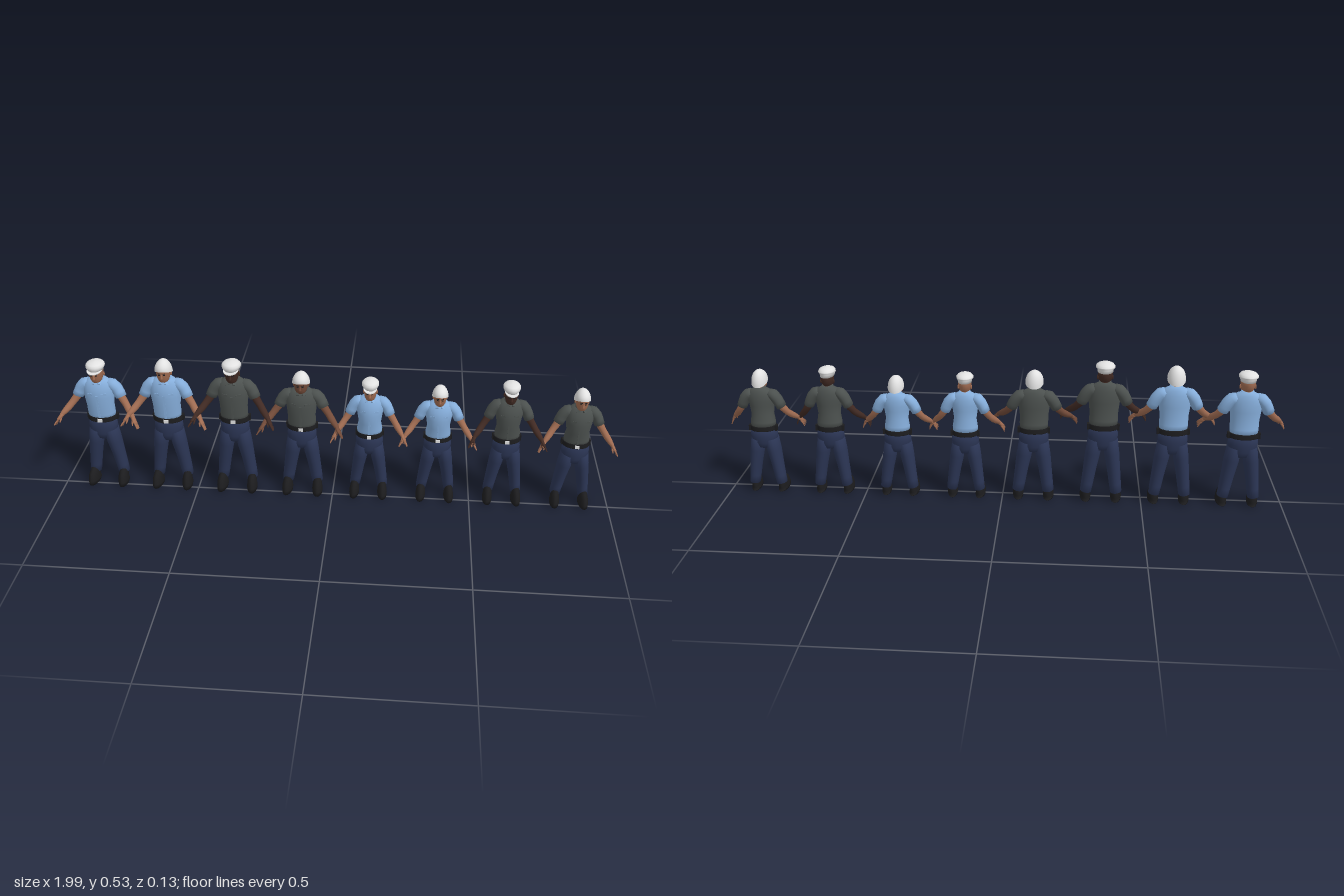
import * as THREE from 'three';

const mat = (name, color) => Object.assign(new THREE.MeshStandardMaterial({ color }), { name });
const M = {
  blue: mat('blueShirt', 0x86aedb), grey: mat('greyShirt', 0x4c514f), navy: mat('navyTrousers', 0x2b3554),
  black: mat('blackLeather', 0x1c1c1e), white: mat('whiteHat', 0xe2e2e2),
  tan: mat('tanSkin', 0xa06c52), brown: mat('brownSkin', 0x744c3a), dark: mat('darkSkin', 0x422b24),
};
M.white.side = THREE.DoubleSide;

// Skin elliptical rings [x, y, z, rx, rz] that follow a path, capped at both ends
function loft(rings, n = 16) {
  const pos = [], idx = [], Z = new THREE.Vector3(0, 0, 1);
  const c = rings.map(r => new THREE.Vector3(r[0], r[1], r[2]));
  const last = rings.length - 1;
  rings.forEach((r, i) => {
    const t = c[Math.min(i + 1, last)].clone().sub(c[Math.max(i - 1, 0)]).normalize();
    const u = new THREE.Vector3().crossVectors(t, Z).normalize();
    const v = new THREE.Vector3().crossVectors(u, t);
    for (let j = 0; j < n; j++) {
      const a = j / n * Math.PI * 2;
      const p = c[i].clone().addScaledVector(u, Math.cos(a) * r[3]).addScaledVector(v, Math.sin(a) * r[4]);
      pos.push(p.x, p.y, p.z);
      if (i < last) {
        const k = (j + 1) % n, A = i * n + j, B = i * n + k;
        idx.push(A, A + n, B, B, A + n, B + n);
      }
    }
  });
  const base = pos.length / 3;
  pos.push(...c[0].toArray(), ...c[last].toArray());
  for (let j = 0; j < n; j++) {
    const k = (j + 1) % n;
    idx.push(base, j, k, base + 1, last * n + k, last * n + j);
  }
  const g = new THREE.BufferGeometry();
  g.setAttribute('position', new THREE.Float32BufferAttribute(pos, 3));
  g.setIndex(idx);
  g.computeVertexNormals();
  return g;
}
// Upright loft: rings [y, rx, rz, z]
const column = rows => loft(rows.map(([y, rx, rz, z]) => [0, y, z, rx, rz]), 20);

function add(parent, name, geo, material, x = 0, y = 0, z = 0) {
  const m = new THREE.Mesh(geo, material);
  m.name = name;
  m.position.set(x, y, z);
  parent.add(m);
  return m;
}
const box = (w, h, d) => new THREE.BoxGeometry(w, h, d);

// Trousers, shoes
function buildLegs() {
  const g = new THREE.Group();
  g.name = 'legs';
  add(g, 'hips', column([[.175, .03, .028, -.032], [.195, .046, .036, -.032], [.22, .049, .037, -.033], [.25, .045, .035, -.035]]), M.navy);
  for (const s of [1, -1]) {
    add(g, 'trouserLeg', loft([
      [s * .05, .032, -.037, .019, .024], [s * .046, .06, -.037, .020, .024], [s * .039, .11, -.035, .022, .028],
      [s * .031, .16, -.032, .025, .034], [s * .025, .205, -.031, .024, .036]]), M.navy);
    const shoe = add(g, 'shoe', loft([
      [0, 0, -.015, .017, .044], [0, .008, -.015, .018, .045], [0, .018, -.018, .017, .041],
      [0, .028, -.027, .015, .031], [0, .042, -.037, .014, .019]]), M.black, s * .052);
    shoe.rotation.y = s * .06;
  }
  return g;
}

// Short sleeve, bare arm and spread hand; reach pushes the hand forward
function buildArm(s, shirt, skin, reach, lift) {
  const g = new THREE.Group();
  g.name = s > 0 ? 'leftArm' : 'rightArm';
  const P = (x, y, z, r, q = r) => {
    const t = Math.max(0, (x - .06) / .08);
    return [s * x, y + lift * t, z + reach * t, r, q];
  };
  add(g, 'sleeve', loft([P(.03, .130, -.036, .016, .02), P(.044, .124, -.036, .020, .023),
    P(.056, .110, -.036, .020, .022), P(.064, .094, -.035, .019, .021), P(.071, .078, -.033, .018, .02)]), shirt);
  add(g, 'arm', loft([P(.06, .098, -.036, .014), P(.075, .072, -.031, .013), P(.088, .053, -.024, .0115),
    P(.099, .039, -.012, .0115), P(.108, .029, -.002, .010), P(.117, .019, .009, .007)], 12), skin);
  add(g, 'palm', loft([P(.115, .021, .007, .007), P(.120, .014, .013, .006, .010), P(.126, .006, .02, .005, .011),
    P(.128, .003, .023, .003, .008)], 10), skin);
  for (let i = 0; i < 4; i++) {
    const f = i - 1.5;
    add(g, 'finger', loft([P(.124, .007 + f * .001, .017 + f * .0055, .0028), P(.131, -.003 + f * .002, .022 + f * .007, .0027),
      P(.137 - Math.abs(f) * .001, -.013 + f * .003, .025 + f * .008, .0016)], 6), skin);
  }
  add(g, 'thumb', loft([P(.116, .016, .013, .003), P(.117, .008, .025, .003), P(.119, 0, .031, .0018)], 6), skin);
  return g;
}

// Head, face, ears and neck
function buildHead(skin) {
  const g = new THREE.Group();
  g.name = 'head';
  add(g, 'neck', column([[.125, .017, .018, -.036], [.145, .014, .016, -.034], [.165, .014, .017, -.032]]), skin);
  add(g, 'skull', column([[.138, .007, .008, -.010], [.143, .014, .016, -.014], [.152, .019, .023, -.019],
    [.165, .022, .030, -.024], [.178, .0235, .0335, -.027], [.19, .023, .032, -.028], [.2, .017, .024, -.029], [.206, .006, .01, -.029]]), skin);
  add(g, 'nose', loft([[0, .158, .007, .005, .006], [0, .163, .007, .004, .005], [0, .174, .005, .002, .003]], 8), skin);
  for (const s of [1, -1]) {
    add(g, 'ear', new THREE.SphereGeometry(1, 8, 6), skin, s * .023, .165, -.031).scale.set(.003, .008, .005);
    add(g, 'eye', box(.006, .0025, .002), M.black, s * .008, .172, .0042).rotation.y = s * .3;
    add(g, 'brow', box(.009, .0018, .002), M.black, s * .008, .1775, .0048).rotation.y = s * .3;
  }
  return g;
}

// Peaked cap
function buildCap() {
  const g = new THREE.Group();
  g.name = 'peakedCap';
  add(g, 'crown', column([[.184, .0245, .0345, -.027], [.192, .025, .035, -.027], [.197, .030, .038, -.026],
    [.203, .030, .038, -.026], [.209, .025, .032, -.026], [.213, .016, .021, -.026], [.215, .004, .006, -.026]]), M.white);
  const brim = add(g, 'peak', new THREE.CylinderGeometry(1, 1, .0025, 20, 1, false, -Math.PI / 2, Math.PI), M.white, 0, .187, -.013);
  brim.scale.set(.024, 1, .035);
  brim.rotation.x = .08;
  return g;
}

// Rounded hat that dips low over the nape
function buildRoundHat() {
  const geo = new THREE.SphereGeometry(1, 24, 12, 0, Math.PI * 2, 0, Math.PI / 2);
  const p = geo.attributes.position;
  for (let i = 0; i < p.count; i++) {
    const z = p.getZ(i), rim = .171 + .013 * z;
    p.setXYZ(i, p.getX(i) * .0285, rim + p.getY(i) * (.215 - rim), -.031 + z * .0375);
  }
  geo.computeVertexNormals();
  return add(new THREE.Group(), 'roundHat', geo, M.white);
}

// Shirt, belt, arms and head, measured upward from the belt
function buildUpper(f) {
  const g = new THREE.Group(), shirt = M[f.shirt], skin = M[f.skin], m = f.male;
  g.name = 'upperBody';
  add(g, 'shirtBody', column([[-.002, .044, .034, -.035], [.02, .045, .035, -.033], [.05, m ? .045 : .040, .034, -.03],
    [.085, m ? .049 : .045, m ? .037 : .038, m ? -.03 : -.027], [.11, .05, .036, -.031], [.13, .047, .031, -.035],
    [.142, .034, .025, -.037], [.15, .019, .019, -.036]]), shirt);
  add(g, 'belt', column([[-.009, .0475, .0375, -.034], [-.007, .048, .038, -.034], [.006, .047, .037, -.034], [.008, .046, .036, -.034]]), M.black);
  add(g, 'buckle', box(.015, .012, .004), M.white, 0, -.001, .004);
  add(g, 'collar', column([[.139, .026, .024, -.034], [.148, .021, .022, -.034], [.155, .0185, .0195, -.036]]), shirt);
  add(g, 'buttonPlacket', box(.007, .085, .004), shirt, 0, .052, .0045).rotation.x = .045;
  for (const s of [1, -1]) {
    add(g, 'pocketFlap', box(.018, .007, .004), shirt, s * .022, .1, .0015).rotation.y = s * .35;
    add(g, 'beltPouch', box(.008, .02, .016), M.black, s * .047, -.002, -.04);
    const lapel = add(g, 'collarPoint', box(.014, .005, .012), shirt, s * .011, .138, -.010);
    lapel.rotation.set(.7, 0, s * -.5);
    g.add(buildArm(s, shirt, skin, f.reach, f.lift));
  }
  g.add(buildHead(skin));
  g.add(f.cap ? buildCap() : buildRoundHat());
  return g;
}

export function createModel() {
  const model = new THREE.Group();
  model.name = 'uniformedRow';
  // belt height, top height, skin
  const people = [
    [.273, .500, 'tan'], [.281, .515, 'tan'], [.291, .522, 'dark'], [.271, .487, 'brown'],
    [.252, .470, 'tan'], [.249, .455, 'tan'], [.257, .480, 'dark'], [.250, .465, 'tan'],
  ];
  people.forEach(([belt, top, skin], i) => {
    const male = i < 4, wide = male ? 1.115 : 1;
    const person = new THREE.Group();
    person.name = 'officer' + (i + 1);
    person.position.x = -.842 + i * .2433;
    const legs = buildLegs();
    legs.scale.set(male ? 1.08 : 1, belt / .25, 1);
    const upper = buildUpper({
      male, skin, shirt: i % 4 < 2 ? 'blue' : 'grey', cap: i % 2 === 0,
      reach: male ? .022 : .004, lift: male ? .012 : 0,
    });
    upper.position.y = belt;
    upper.scale.set(wide, (top - belt) / .215, 1);
    person.add(legs, upper);
    model.add(person);
  });
  return model;
}
